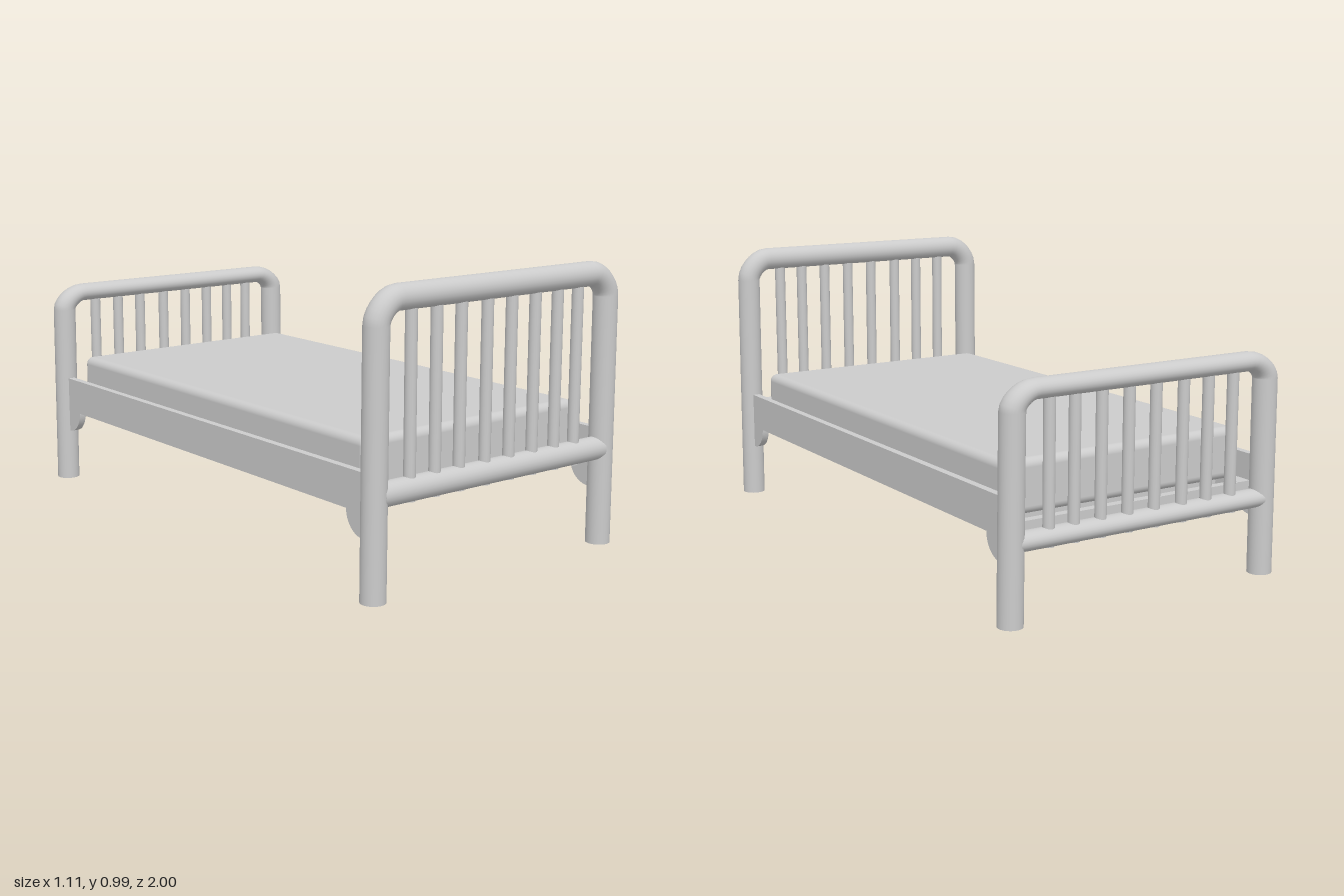
import * as THREE from 'three';
import { RoundedBoxGeometry } from 'three/addons/geometries/RoundedBoxGeometry.js';

const material = new THREE.MeshStandardMaterial({ color: 0xcccccc });

function add(parent, name, geometry, x = 0, y = 0, z = 0) {
  const mesh = new THREE.Mesh(geometry, material);
  mesh.name = name;
  mesh.position.set(x, y, z);
  parent.add(mesh);
  return mesh;
}

// box given by its minimum and maximum corners
function addBox(parent, name, x0, x1, y0, y1, z0, z1) {
  return add(parent, name, new THREE.BoxGeometry(x1 - x0, y1 - y0, z1 - z0),
    (x0 + x1) / 2, (y0 + y1) / 2, (z0 + z1) / 2);
}

// bent tube hoop with spindles and a lower cross rail
function endFrame(name) {
  const group = new THREE.Group();
  group.name = name;
  const r = 0.0425, top = 0.953, bend = 0.08, foot = 0.512, side = 0.507, base = 0.004;
  const v = (x, y) => new THREE.Vector3(x, y, 0);

  const path = new THREE.CurvePath();
  const k = bend * 0.45;
  path.add(new THREE.LineCurve3(v(-foot, base), v(-side, top - bend)));
  path.add(new THREE.CubicBezierCurve3(v(-side, top - bend), v(-side, top - bend + k),
    v(-side + bend - k, top), v(-side + bend, top)));
  path.add(new THREE.LineCurve3(v(-side + bend, top), v(side - bend, top)));
  path.add(new THREE.CubicBezierCurve3(v(side - bend, top), v(side - bend + k, top),
    v(side, top - bend + k), v(side, top - bend)));
  path.add(new THREE.LineCurve3(v(side, top - bend), v(foot, base)));
  add(group, 'hoop', new THREE.TubeGeometry(path, 160, r, 24));

  // closed ends of the legs
  for (const s of [-1, 1]) {
    add(group, 'legEnd', new THREE.CircleGeometry(r, 24), s * foot, base, 0).rotation.x = Math.PI / 2;
  }

  add(group, 'lowerRail', new THREE.CylinderGeometry(0.041, 0.041, 0.99, 24), 0, 0.345, 0.001)
    .rotation.z = Math.PI / 2;

  for (const x of [-0.367, -0.262, -0.158, -0.045, 0.063, 0.17, 0.274, 0.37]) {
    add(group, 'spindle', new THREE.CylinderGeometry(0.02, 0.02, 0.625, 16), x, 0.6175, 0);
  }
  return group;
}

export function createModel() {
  const bed = new THREE.Group();
  bed.name = 'bed';

  const head = endFrame('headFrame');
  head.position.z = 0.9575;
  const foot = endFrame('footFrame');
  foot.position.z = -0.9575;
  foot.scale.y = 0.783;
  bed.add(head, foot);

  // quarter-round bracket, corner at the origin
  const quarter = new THREE.Shape();
  quarter.moveTo(0, 0);
  quarter.lineTo(0.082, 0);
  quarter.absarc(0, 0, 0.082, 0, -Math.PI / 2, true);
  quarter.closePath();
  const bracket = new THREE.ExtrudeGeometry(quarter,
    { depth: 0.026, bevelEnabled: false, curveSegments: 12 });
  bracket.translate(0, 0, -0.013);

  // side rails with inner ledges and end brackets
  for (const s of [-1, 1]) {
    const side = new THREE.Group();
    side.name = s > 0 ? 'leftSide' : 'rightSide';
    bed.add(side);
    add(side, 'sideRail', new THREE.BoxGeometry(0.026, 0.13, 1.87), s * 0.508, 0.347, 0);
    add(side, 'ledge', new THREE.BoxGeometry(0.05, 0.035, 1.83), s * 0.47, 0.302, 0);
    for (const e of [-1, 1]) {
      add(side, 'bracket', bracket, s * 0.508, 0.282, e * 0.917).rotation.y = e * Math.PI / 2;
    }
  }

  // slats between the ledges: narrow ones at the ends, wide ones between
  const gap = 0.09, slat = 0.0967;
  for (const e of [-1, 1]) {
    addBox(bed, 'endSlat', -0.445, 0.445, 0.285, 0.319, e * 0.9 - 0.015, e * 0.9 + 0.015);
  }
  for (let i = 0; i < 9; i++) {
    const z = -0.885 + gap + i * (gap + slat);
    addBox(bed, 'slat', -0.445, 0.445, 0.285, 0.319, z, z + slat);
  }

  add(bed, 'mattress', new RoundedBoxGeometry(0.95, 0.182, 1.735, 4, 0.028), 0, 0.411, 0);
  return bed;
}
